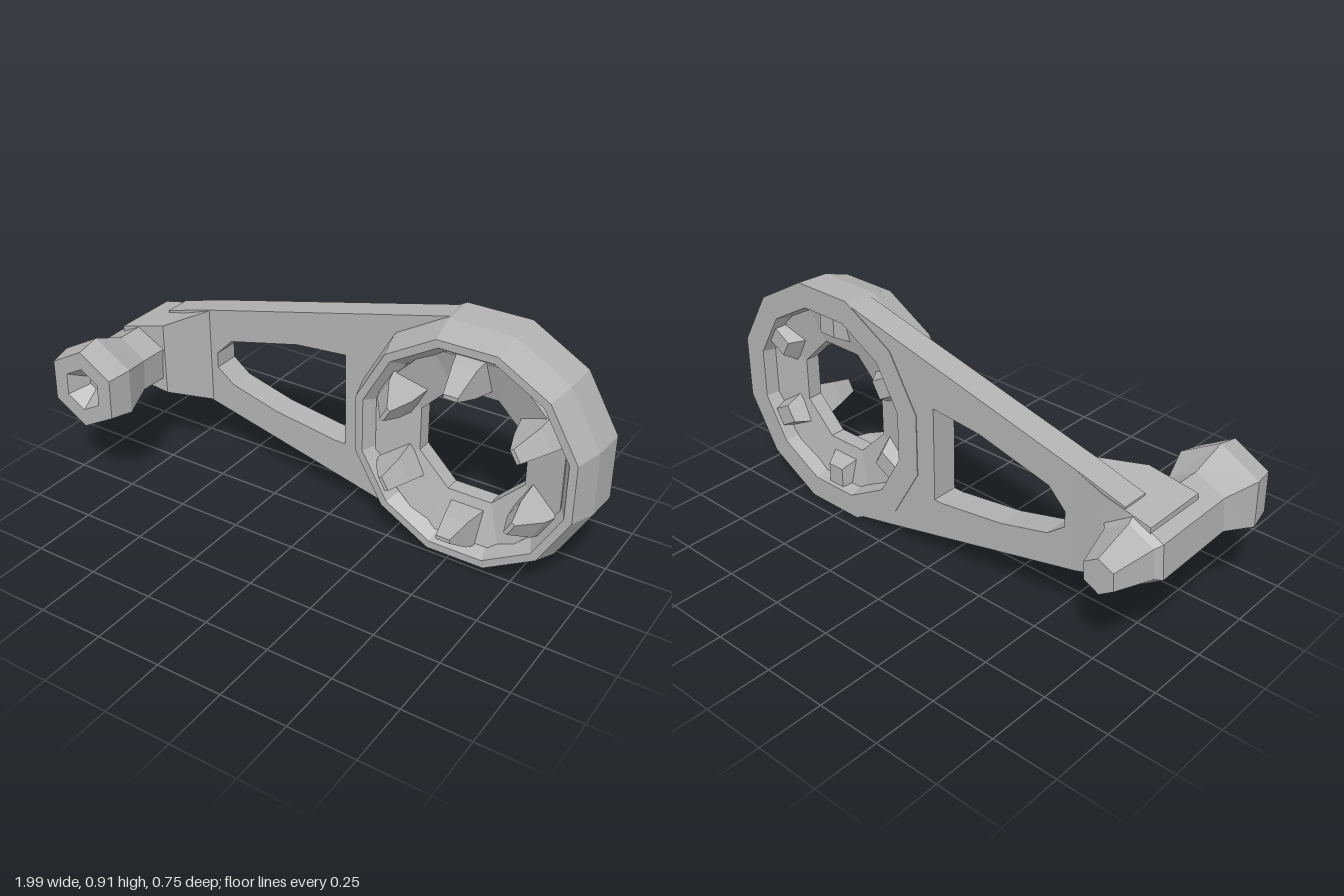
import * as THREE from 'three';

const metal = new THREE.MeshStandardMaterial({ color: 0xb2b2b2 });
metal.name = 'grey metal';
metal.flatShading = true;

// Skin through cross-sections with the same point count, with both ends capped
function loft(rings) {
  const n = rings[0].length, pos = [], idx = [];
  rings.forEach(r => r.forEach(p => pos.push(...p)));
  for (let k = 0; k < rings.length - 1; k++) {
    for (let i = 0; i < n; i++) {
      const a = k * n + i, b = k * n + (i + 1) % n;
      idx.push(a, b, b + n, a, b + n, a + n);
    }
  }
  const e = (rings.length - 1) * n;
  for (let i = 1; i < n - 1; i++) {
    idx.push(0, i + 1, i);
    idx.push(e, e + i, e + i + 1);
  }
  const g = new THREE.BufferGeometry();
  g.setAttribute('position', new THREE.Float32BufferAttribute(pos, 3));
  g.setIndex(idx);
  const flat = g.toNonIndexed();
  flat.computeVertexNormals();
  return flat;
}

const polygon = (cx, cy, r, z, n, phase) => Array.from({ length: n }, (_, i) => {
  const a = phase + i * Math.PI * 2 / n;
  return [cx + r * Math.cos(a), cy + r * Math.sin(a), z];
});
// Rectangles across z and across x
const rectZ = (x0, x1, w, z) => [[x0, -w, z], [x1, -w, z], [x1, w, z], [x0, w, z]];
const rectX = (x, y0, y1, z0, z1) => [[x, y0, z0], [x, y1, z0], [x, y1, z1], [x, y0, z1]];

export function createModel() {
  const model = new THREE.Group();
  model.name = 'leverArm';
  const add = (name, geometry, parent = model) => {
    const m = new THREE.Mesh(geometry, metal);
    m.name = name;
    parent.add(m);
    return m;
  };

  // Flat tapering arm with a window, cut round where it meets the ring
  const arm = new THREE.Shape();
  arm.moveTo(-0.8, 0.33);
  arm.lineTo(-0.62, 0.27);
  arm.lineTo(0.22, 0.064);
  arm.lineTo(0.43, 0.015);
  arm.absarc(0.545, 0.46, 0.42, Math.PI * 1.42, Math.PI * 0.58, true);
  arm.lineTo(0.42, 0.905);
  arm.lineTo(-0.62, 0.65);
  arm.lineTo(-0.8, 0.6);
  arm.closePath();
  arm.holes.push(new THREE.Path([
    [0.01, 0.64], [-0.2, 0.622], [-0.5, 0.55], [-0.57, 0.48], [-0.57, 0.42],
    [-0.5, 0.365], [-0.3, 0.31], [-0.03, 0.27], [0.01, 0.27],
  ].map(p => new THREE.Vector2(...p))));
  const armGeo = new THREE.ExtrudeGeometry(arm, { depth: 0.105, bevelEnabled: false, curveSegments: 10 });
  armGeo.translate(0, 0, -0.197);
  add('arm', armGeo);

  // Thickened web between arm and pivot
  add('pivotWeb', loft([
    rectX(-0.9, 0.36, 0.57, -0.2, 0.06),
    rectX(-0.72, 0.325, 0.61, -0.2, 0.04),
    rectX(-0.6, 0.268, 0.652, -0.197, -0.092),
  ]));

  // Six-sided pivot post: tapered rear stub, sleeve, flared and dimpled head
  const px = -0.84, py = 0.455;
  add('pivotPost', loft([
    [0.065, -0.375], [0.11, -0.22], [0.13, -0.195], [0.125, 0.15],
    [0.175, 0.28], [0.155, 0.37], [0.085, 0.37], [0.03, 0.3],
  ].map(([r, z]) => polygon(px, py, r, z, 6, 0.5 * (z > 0.16 ? 1 : 0.9)))));

  // Ring housing and its eight-sided inner race
  const ring = new THREE.Group();
  ring.name = 'ring';
  ring.position.set(0.545, 0.46, 0);
  model.add(ring);
  const lathe = (profile, sides) => {
    const g = new THREE.LatheGeometry(profile.map(p => new THREE.Vector2(...p)), sides);
    g.rotateX(Math.PI / 2);
    g.rotateZ(Math.PI / sides);
    return g;
  };
  add('housing', lathe([
    [0.375, -0.2], [0.47, -0.2], [0.464, -0.07], [0.43, 0.03],
    [0.4, 0.03], [0.36, -0.03], [0.36, -0.14], [0.375, -0.2],
  ], 12), ring);
  add('innerRace', lathe([
    [0.22, -0.12], [0.385, -0.15], [0.385, -0.01], [0.22, -0.06], [0.22, -0.12],
  ], 8), ring);

  // Six wedge teeth on the front of the race, with short ribs behind
  for (let i = 0; i < 6; i++) {
    const spoke = new THREE.Group();
    spoke.name = 'tooth' + (i + 1);
    spoke.rotation.z = Math.PI / 6 + i * Math.PI / 3;
    ring.add(spoke);
    add('frontTooth', loft([
      rectZ(0.235, 0.39, 0.07, -0.08),
      rectZ(0.245, 0.35, 0.045, 0.035),
      rectZ(0.27, 0.285, 0.027, 0.127),
    ]), spoke);
    const rib = add('rearRib', loft([
      rectZ(0.235, 0.39, 0.07, 0.1),
      rectZ(0.28, 0.38, 0.035, 0.185),
    ]), spoke);
    rib.rotation.x = Math.PI;
  }
  return model;
}
